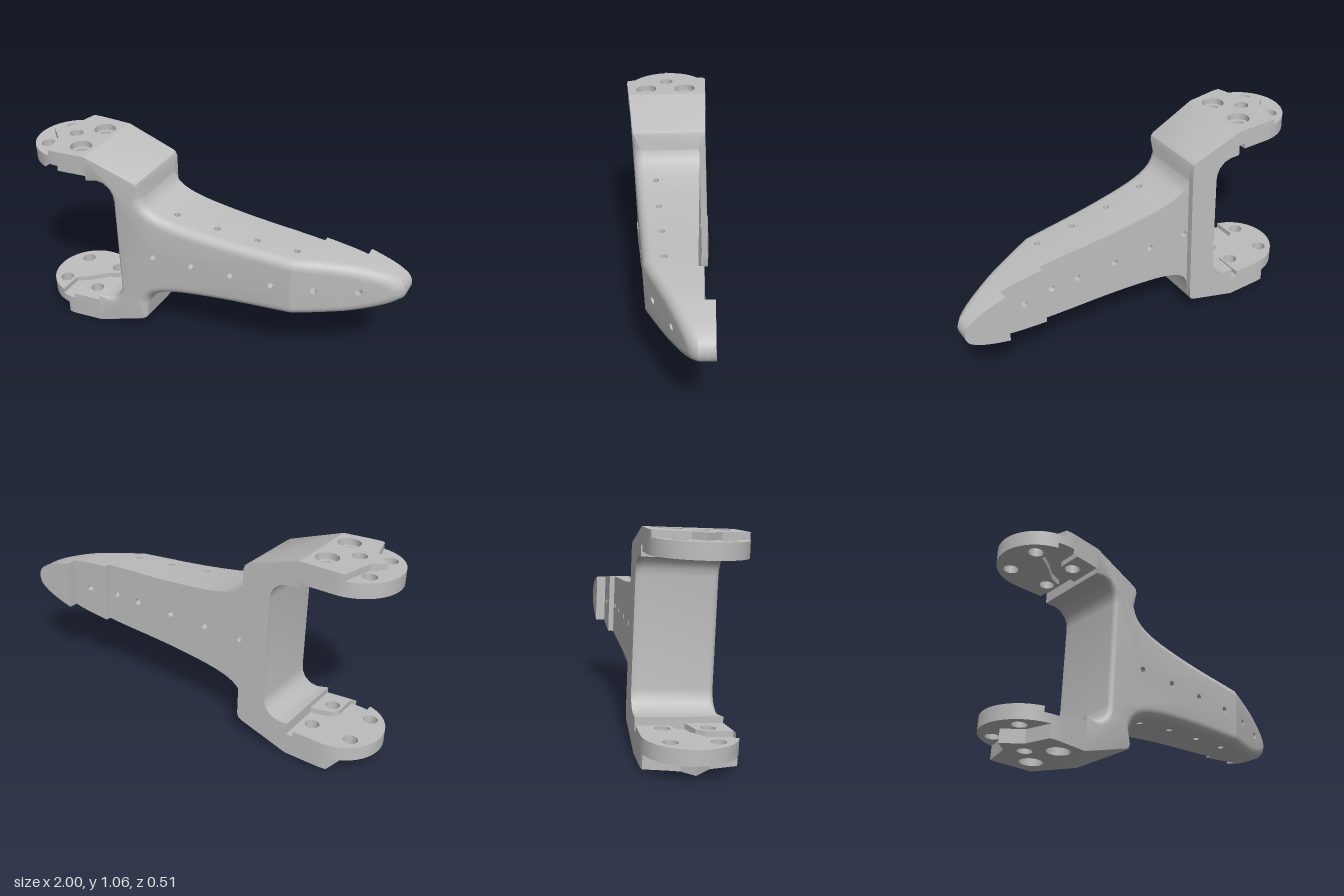
import * as THREE from 'three';
import { mergeGeometries, toCreasedNormals } from 'three/addons/utils/BufferGeometryUtils.js';

const BACK = -0.172, KINK = 0.5, R_HOLE = 0.017, R_SIDE = 0.016, FACET = 0.0185;
const V = (x, y) => new THREE.Vector2(x, y);
// Front surface: gentle slope along the arm, then steep towards the tip
const frontZ = x => (x <= KINK ? 0.09 - (x - KINK) * 0.111 : 0.09 - (x - KINK) * 0.467);

// Bores: x at the front and x at the back; cross bores through the side walls: x and z
const FRONT_BORES = [[-0.25, -0.285], [-0.035, -0.07], [0.18, 0.145], [0.395, 0.36], [0.6, 0.505], [0.8, 0.67]];
const SIDE_BORES = [[-0.16, 0.055], [0.06, 0.031], [0.275, 0.008], [0.481, -0.012]];

// Half outline of the arm from tip to root, then the C-shaped fork (x, y, edge radius)
const armHalf = [[1, 0], [0.988, 0.04], [0.955, 0.068], [0.9, 0.095], [0.8, 0.126], [0.7, 0.145], [0.5, 0.164],
  [0.2, 0.18], [0, 0.198], [-0.14, 0.218], [-0.23, 0.244], [-0.285, 0.28], [-0.31, 0.33]];
const forkPoints = [
  [-0.31, 0.4, 0.02], [-0.317, 0.42, 0.015], [-0.335, 0.432, 0.01], [-0.6, 0.52, 0], [-0.6, 0.385, 0],
  [-0.545, 0.385, 0.025], [-0.51, 0.375, 0.03], [-0.48, 0.35, 0.03], [-0.465, 0.32, 0.03], [-0.46, 0.285, 0.03],
  [-0.46, -0.25, 0.03], [-0.465, -0.285, 0.03], [-0.48, -0.315, 0.03], [-0.51, -0.34, 0.03], [-0.545, -0.35, 0.025],
  [-0.6, -0.35, 0], [-0.6, -0.52, 0], [-0.335, -0.437, 0.01], [-0.317, -0.425, 0.015], [-0.31, -0.405, 0.02]];

// Upper edge of the arm, with a flat facet around every side bore
function armEdge() {
  const mirrored = armHalf.slice(1).reverse().map(([x, y]) => V(x, -y));
  const curve = new THREE.SplineCurve([...mirrored, ...armHalf.map(([x, y]) => V(x, y))]);
  let top = curve.getPoints(72).slice(36);
  SIDE_BORES.forEach(([hx]) => {
    const ends = [hx + FACET, hx - FACET].map(x => {
      const i = top.findIndex((p, k) => p.x >= x && top[k + 1].x <= x);
      const a = top[i], b = top[i + 1];
      return a.clone().lerp(b, (a.x - x) / (a.x - b.x));
    });
    top = [...top.filter(p => p.x > hx + FACET + 1e-4), ...ends, ...top.filter(p => p.x < hx - FACET - 1e-4)];
  });
  return top;
}

function makeOutline(top) {
  const bottom = top.slice(1).reverse().map(p => V(p.x, -p.y));
  const pts = [...bottom, ...top].map(p => ({ p, r: 0.05 }));
  forkPoints.forEach(([x, y, r]) => pts.push({ p: V(x, y), r }));
  const n = pts.length;
  pts.forEach((o, i) => { // inward direction at each corner
    const a = pts[(i + n - 1) % n].p, b = pts[(i + 1) % n].p;
    const t = o.p.clone().sub(a).normalize().add(b.clone().sub(o.p).normalize()).normalize();
    o.n = Math.abs(o.p.x - KINK) < 1e-4 ? V(0, -Math.sign(o.p.y)) : V(-t.y, t.x);
    const mid = (o.p.x + b.x) / 2;
    if (i < 2 * top.length - 2) o.bore = SIDE_BORES.find(h => Math.abs(h[0] - mid) < 1e-3);
  });
  return pts;
}

// Keep the part of a polygon on one side of a line x = c
function clip(poly, c, sign) {
  const out = [];
  poly.forEach((a, i) => {
    const b = poly[(i + 1) % poly.length];
    const da = (a.x - c) * sign, db = (b.x - c) * sign;
    if (da >= -1e-6) out.push(a);
    if ((da > 1e-6 && db < -1e-6) || (da < -1e-6 && db > 1e-6)) out.push(a.clone().lerp(b, da / (da - db)));
  });
  return out;
}

// Counter-clockwise outline with clockwise round holes
function makeShape(poly, holes = []) {
  const s = new THREE.Shape(THREE.ShapeUtils.isClockWise(poly) ? poly.slice().reverse() : poly);
  holes.forEach(([x, y, r]) => s.holes.push(new THREE.Path().absarc(x, y, r, 0, Math.PI * 2, true)));
  return s;
}

function bare(g) {
  const out = g.index ? g.toNonIndexed() : g;
  out.deleteAttribute('uv');
  out.deleteAttribute('normal');
  return out;
}

// Flat face with holes, its points placed in space by a rule
function face(poly, holes, place, flip) {
  const g = new THREE.ShapeGeometry(makeShape(poly, holes), 10);
  const p = g.attributes.position;
  for (let i = 0; i < p.count; i++) p.setXYZ(i, ...place(p.getX(i), p.getY(i)));
  if (flip) g.setIndex(Array.from(g.index.array).reverse());
  return bare(g);
}

// Rounded wall plus front and back faces
function bodyGeometry(outline, frontHoles, backHoles) {
  const n = outline.length, steps = 6, pos = [], idx = [], facets = [];
  const rings = [outline.map(({ p }) => new THREE.Vector3(p.x, p.y, BACK))];
  for (let k = 0; k <= steps; k++) {
    const a = (k / steps) * Math.PI / 2;
    rings.push(outline.map(({ p, n: d, r }) => {
      const q = p.clone().addScaledVector(d, r * (1 - Math.cos(a)));
      return new THREE.Vector3(q.x, q.y, frontZ(q.x) - r * (1 - Math.sin(a)));
    }));
  }
  rings.forEach(rg => rg.forEach(v => pos.push(v.x, v.y, v.z)));
  for (let k = 0; k < rings.length - 1; k++) {
    for (let i = 0; i < n; i++) {
      const j = (i + 1) % n, a = k * n + i, b = k * n + j, bore = outline[i].bore;
      if (k === 0 && bore) { // wall facet pierced by a side bore
        const P = rings[0][i], Q = rings[0][j];
        const quad = [P, Q, rings[1][j], rings[1][i]].map(v => V(v.x, v.z));
        const place = (x, z) => [x, P.y + (Q.y - P.y) * (x - P.x) / (Q.x - P.x), z];
        facets.push(face(quad, [[...bore, R_SIDE]], place, P.y > 0));
      } else idx.push(a, b, b + n, a, b + n, a + n);
    }
  }
  const wall = new THREE.BufferGeometry();
  wall.setAttribute('position', new THREE.Float32BufferAttribute(pos, 3));
  wall.setIndex(idx);
  const inner = rings[steps + 1].map(v => V(v.x, v.y));
  const onFront = (x, y) => [x, y, frontZ(x)];
  return toCreasedNormals(mergeGeometries([
    bare(wall), ...facets,
    face(clip(inner, KINK, -1), frontHoles.filter(h => h[0] < KINK), onFront, false),
    face(clip(inner, KINK, 1), frontHoles.filter(h => h[0] > KINK), onFront, false),
    face(outline.map(o => o.p), backHoles, (x, y) => [x, y, BACK], true),
  ]), 0.55);
}

// Inward-facing tube along z whose end points are placed by a rule
function boreGeometry(r, place) {
  const g = new THREE.CylinderGeometry(r, r, 1, 40, 1, true);
  g.rotateX(Math.PI / 2).scale(-1, 1, 1);
  const p = g.attributes.position;
  for (let i = 0; i < p.count; i++) p.setXYZ(i, ...place(p.getX(i), p.getY(i), p.getZ(i) > 0));
  g.computeVertexNormals();
  return g;
}

export function createModel() {
  const grey = new THREE.MeshStandardMaterial({ color: 0xbebebe });
  grey.name = 'grey plastic';
  const model = new THREE.Group();
  model.name = 'bracket';
  const body = new THREE.Group();
  body.name = 'tiltedBracket';
  body.rotation.x = 0.0425;
  body.position.y = 0.53;
  model.add(body);
  const add = (name, geo) => {
    const m = new THREE.Mesh(geo, grey);
    m.name = name;
    body.add(m);
  };

  // Arm and fork web
  const top = armEdge(), outline = makeOutline(top);
  const base = outline.map(o => o.p);
  const backHoles = FRONT_BORES.map(b => [b[1], 0, R_HOLE]);
  add('armAndFork', bodyGeometry(outline, FRONT_BORES.map(b => [b[0], 0, R_HOLE]), backHoles));

  // Slanted bores from front to back
  FRONT_BORES.forEach(([xf, xb]) => add('frontBore', boreGeometry(R_HOLE, (x, y, front) =>
    (front ? [xf + x, y, frontZ(xf + x)] : [xb + x, y, BACK]))));

  // Cross bores from side wall to side wall
  SIDE_BORES.forEach(([hx, hz]) => {
    const a = top.find(p => Math.abs(p.x - hx - FACET) < 1e-4), b = top.find(p => Math.abs(p.x - hx + FACET) < 1e-4);
    const wallY = x => a.y + (b.y - a.y) * (x - a.x) / (b.x - a.x);
    add('sideBore', boreGeometry(R_SIDE, (x, y, upper) => [hx + x, (upper ? 1 : -1) * wallY(hx + x), hz - y]));
  });

  // Raised pads on the back
  const pad = (name, poly, z0, z1, h = []) => {
    const g = new THREE.ExtrudeGeometry(makeShape(poly, h), { depth: z1 - z0, bevelEnabled: false, curveSegments: 10 });
    add(name, toCreasedNormals(g.translate(0, 0, z0), 0.5));
  };
  pad('forkBackPad', clip(base, -0.31, -1), -0.205, BACK);
  pad('toeStep', clip(base, 0.56, 1), -0.2, BACK, [backHoles[5]]);
  pad('toePad', clip(base, 0.78, 1), -0.25, -0.2);

  // Round joint plates, stacked in layers; plan points are x, z
  const CX = -0.78, CZ = 0.015, R = 0.22, END = -0.6, pi = Math.PI;
  const arc = (a0, a1, n = 28) => Array.from({ length: n + 1 }, (_, i) => {
    const a = a0 + (a1 - a0) * i / n;
    return V(CX + R * Math.cos(a), CZ + R * Math.sin(a));
  });
  const frontA = 1.46, backA = 1.5 * pi;
  const ends = [V(END, -0.205), V(END, 0.212)];
  const disc = [...arc(frontA, backA), ...ends];
  const plateau = [...arc(frontA, 1.68, 4), V(-0.84, 0.1), V(-0.925, 0.02), V(-0.865, -0.035),
    V(-0.85, -0.09), ...arc(1.43 * pi, backA, 4), ...ends];
  // Inner pads with a winding channel between them
  const padLeft = [...arc(1.84, backA), V(-0.635, -0.205), V(-0.635, -0.05), V(-0.7, -0.02),
    V(-0.77, 0.05), V(-0.84, 0.1)];
  const padRight = [...arc(1.34, frontA, 2).reverse(), V(-0.73, 0.1), V(-0.7, 0.06), V(END, 0.03), ends[1]];
  const HX = -0.785, D = 0.106, r = 0.036;
  const left = [[HX - D, CZ - D, r], [HX - D, CZ + D, r]];
  const right = [[HX + D, CZ - D, r], [HX + D, CZ + D, r]];
  const counter = right.map(([x, z]) => [x, z, 0.056]);
  const layer = (name, poly, y0, y1, h) => {
    const lo = Math.min(y0, y1), hi = Math.max(y0, y1);
    const s = makeShape(poly.map(p => V(p.x, -p.y)), h.map(([x, z, q]) => [x, -z, q]));
    const g = new THREE.ExtrudeGeometry(s, { depth: hi - lo, bevelEnabled: false, curveSegments: 16 });
    add(name, toCreasedNormals(g.rotateX(-pi / 2).translate(0, lo, 0), 0.5));
  };
  [['upper', 0.412, 0.44, 0.487, 0.52], ['lower', -0.38, -0.408, -0.453, -0.52]].forEach(([n, y0, y1, y2, y3]) => {
    layer(n + 'InnerPadLeft', padLeft, y0, y1, [...left, right[0]]);
    layer(n + 'InnerPadRight', padRight, y0, y1, [right[1]]);
    layer(n + 'JointDisc', disc, y1, y2, [...left, ...right]);
    layer(n + 'OuterPlateau', plateau, y2, y3, [...counter, [HX, CZ, r]]);
  });
  return model;
}
